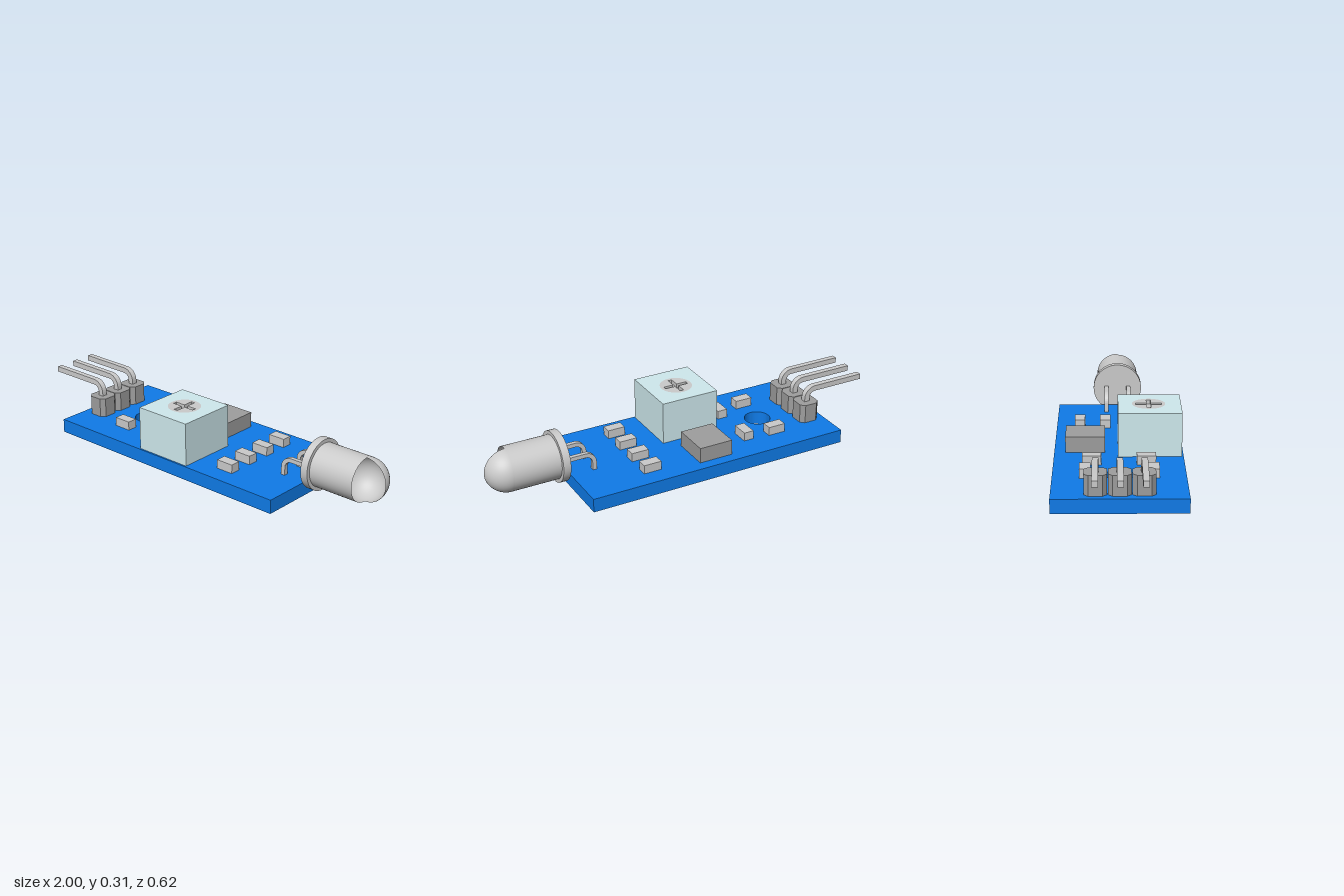
import * as THREE from 'three';
import { toCreasedNormals } from 'three/addons/utils/BufferGeometryUtils.js';

const BOTTOM = 0.023, TOP = 0.092; // board faces

const paint = (color) => new THREE.MeshStandardMaterial({ color });
const grey = paint(0xcccccc), darkGrey = paint(0x9e9e9e);
const blue = paint(0x0f7be8), paleBlue = paint(0xcfeaee);
const greyTwoSided = new THREE.MeshStandardMaterial({ color: 0xcccccc, side: THREE.DoubleSide });

function add(parent, name, geometry, material, x = 0, y = 0, z = 0) {
  const mesh = new THREE.Mesh(geometry, material);
  mesh.name = name;
  mesh.position.set(x, y, z);
  parent.add(mesh);
  return mesh;
}

// Box standing on the board
function chip(parent, name, w, h, d, material, x, z) {
  add(parent, name, new THREE.BoxGeometry(w, h, d), material, x, TOP + h / 2, z);
}

// Plan-view shape raised into a slab resting on its own y = 0
function slab(shape, height) {
  const g = new THREE.ExtrudeGeometry(shape, { depth: height, bevelEnabled: false, curveSegments: 24 });
  return toCreasedNormals(g.rotateX(-Math.PI / 2), 0.5);
}

const polygon = (pts) => new THREE.Shape(pts.map(([x, y]) => new THREE.Vector2(x, y)));
const rect = (w, d) => polygon([[-w / 2, -d / 2], [w / 2, -d / 2], [w / 2, d / 2], [-w / 2, d / 2]]);
const circleHole = (x, y, r) => new THREE.Path().absarc(x, y, r, 0, Math.PI * 2, true);

// Square wire that rises from y = 0, bends, and runs along +x
function bentWire(length, height, w, bend) {
  const h = w / 2, cx = bend - h, cy = height + h - bend;
  const s = new THREE.Shape();
  s.moveTo(-h, 0);
  s.lineTo(-h, cy);
  s.absarc(cx, cy, bend, Math.PI, Math.PI / 2, true);
  s.lineTo(length, height + h);
  s.lineTo(length, height - h);
  s.absarc(cx, cy, bend - w, Math.PI / 2, Math.PI, false);
  s.lineTo(h, 0);
  const g = new THREE.ExtrudeGeometry(s, { depth: w, bevelEnabled: false, curveSegments: 8 });
  return toCreasedNormals(g.translate(0, 0, -h), 0.5);
}

function makeTrimmer() {
  const group = new THREE.Group();
  group.name = 'trimmer';
  const height = 0.216, recess = 0.02, r = 0.08;
  const body = rect(0.3, 0.303);
  body.holes.push(circleHole(0, 0.004, r));
  add(group, 'trimmerBody', slab(body, height), paleBlue);

  // Adjusting screw with a cross slot
  const a = 0.01, b = 0.062;
  const screw = new THREE.Shape().absarc(0, 0, r, 0, Math.PI * 2, false);
  screw.holes.push(polygon([
    [a, b], [a, a], [b, a], [b, -a], [a, -a], [a, -b],
    [-a, -b], [-a, -a], [-b, -a], [-b, a], [-a, a], [-a, b],
  ]));
  add(group, 'screwHead', slab(screw, recess), grey, 0, height - recess, -0.004);
  add(group, 'screwCore', new THREE.CylinderGeometry(r, r, height - recess, 32), grey,
    0, (height - recess) / 2, -0.004);
  group.position.set(-0.075, TOP, 0.148);
  return group;
}

function makeLamp() {
  const group = new THREE.Group();
  group.name = 'lamp';
  const r = 0.108, rim = 0.126, y = 0.177, x0 = 0.62, domeX = 0.892;
  const profile = [[0, 0], [rim, 0], [rim, 0.038], [r, 0.038], [r, domeX - x0]]
    .map(([px, py]) => new THREE.Vector2(px, py));
  const body = toCreasedNormals(new THREE.LatheGeometry(profile, 48).rotateZ(-Math.PI / 2), 0.5);
  add(group, 'lampBody', body, greyTwoSided, x0, y, 0);

  // Three-quarter ball, open toward the front end
  add(group, 'lampDome', new THREE.SphereGeometry(r, 36, 24, Math.PI, Math.PI * 1.5),
    greyTwoSided, domeX, y, 0);

  for (const z of [-0.058, 0.058])
    add(group, 'lampLead', bentWire(x0 - 0.475, y, 0.021, 0.055), grey, 0.475, 0, z);
  return group;
}

function makeHeader() {
  const group = new THREE.Group();
  group.name = 'pinHeader';
  const w = 0.052, c = 0.02;
  const block = polygon([
    [-w, -w + c], [-w + c, -w], [w - c, -w], [w, -w + c],
    [w, w - c], [w - c, w], [-w + c, w], [-w, w - c],
  ]);
  for (const z of [-0.108, 0, 0.108]) {
    add(group, 'headerBlock', slab(block, 0.097), darkGrey, -0.68, TOP, z);
    const pin = add(group, 'headerPin', bentWire(0.32, 0.252, 0.028, 0.06), grey, -0.68, 0, z);
    pin.rotation.y = Math.PI;
  }
  return group;
}

export function createModel() {
  const model = new THREE.Group();
  model.name = 'sensorModule';

  // Board with mounting hole
  const outline = rect(1.362, 0.616);
  outline.holes.push(circleHole(-0.381, 0, 0.065));
  add(model, 'board', slab(outline, TOP - BOTTOM), blue, -0.084, BOTTOM, 0);

  model.add(makeTrimmer(), makeLamp(), makeHeader());

  // Trimmer legs under the board
  for (const [x, z] of [[-0.183, 0.157], [-0.075, 0.048], [0.033, 0.157]])
    add(model, 'trimmerLeg', new THREE.CylinderGeometry(0.017, 0.017, 0.05, 16), grey, x, 0.025, z);

  // Comparator chip and small surface parts
  chip(model, 'comparatorChip', 0.174, 0.078, 0.19, darkGrey, -0.077, -0.16);
  for (const z of [-0.192, -0.064, 0.064, 0.192])
    chip(model, 'resistor', 0.09, 0.044, 0.052, grey, 0.245, z);
  for (const side of [-1, 1]) {
    chip(model, 'capacitor', 0.09, 0.044, 0.052, grey, -0.465, side * 0.158);
    chip(model, 'indicator', 0.052, 0.044, 0.09, grey, -0.31, side * 0.128);
  }
  return model;
}
